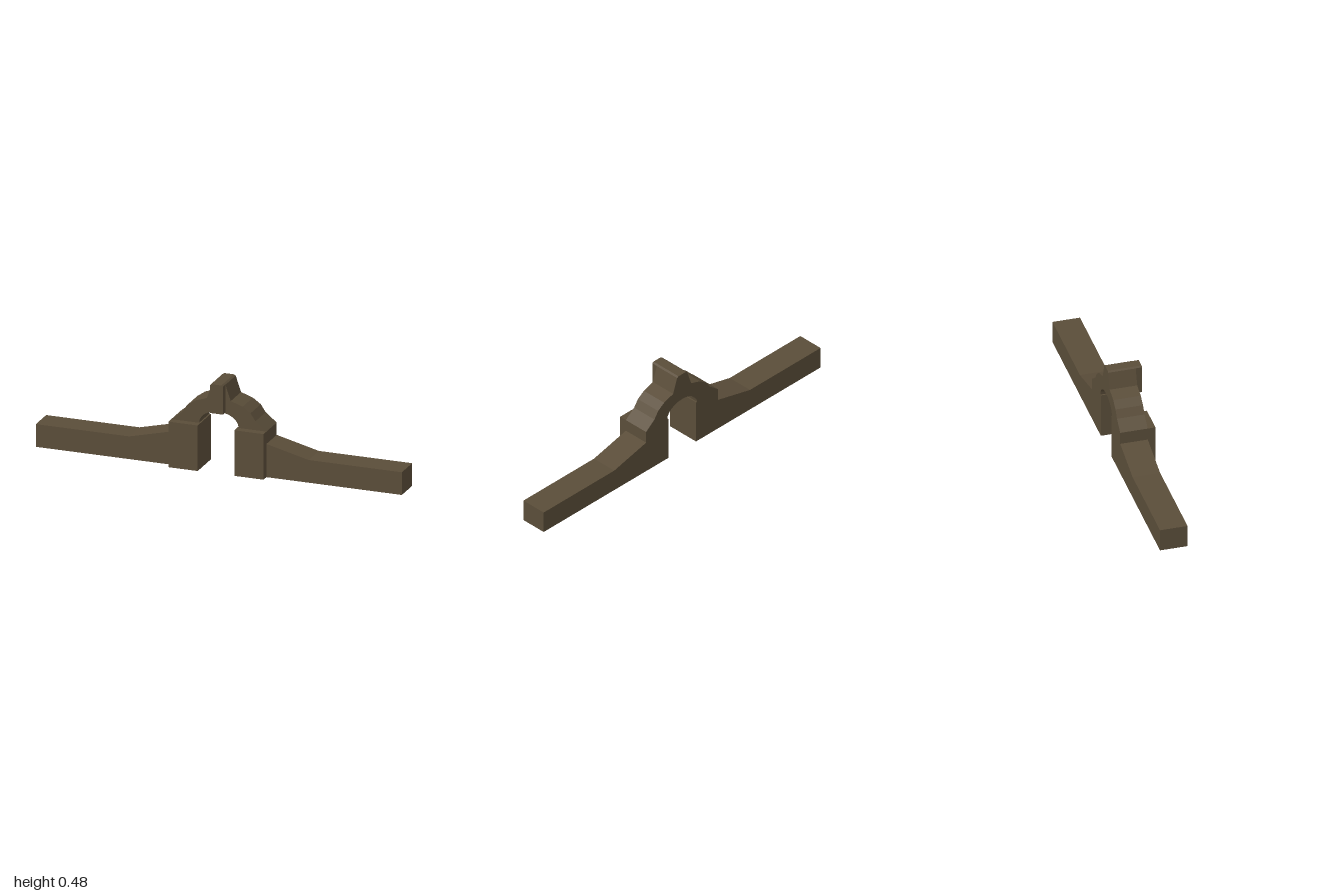
import * as THREE from 'three';

export function createModel() {
  const group = new THREE.Group();
  const stone = new THREE.MeshStandardMaterial({ color: 0x5a4d39, flatShading: true });
  stone.name = 'brown stone';

  // Extrudes a front outline between two depths
  function slab(name, points, z0, z1) {
    const shape = new THREE.Shape(points.map(([x, y]) => new THREE.Vector2(x, y)));
    const geometry = new THREE.ExtrudeGeometry(shape, { depth: z1 - z0, bevelEnabled: false });
    geometry.translate(0, 0, z0);
    const mesh = new THREE.Mesh(geometry, stone);
    mesh.name = name;
    group.add(mesh);
  }
  const mirror = (pts) => pts.map(([x, y]) => [-x, y]).reverse();

  // Wall with arched doorway: right half from the arch foot round to the peak
  const half = [
    [0.1, 0.247], [0.1, 0], [1, 0], [1, 0.123], [0.49, 0.123], [0.26, 0.18],
    [0.26, 0.247], [0.2, 0.295], [0.173, 0.335], [0.13, 0.365], [0.065, 0.387],
    [0.036, 0.472], [0.026, 0.478],
  ];
  const arch = [];
  for (let i = 0; i <= 12; i++) {
    const a = Math.PI * (1 - i / 12);
    arch.push([0.108 * Math.cos(a), 0.247 + 0.074 * Math.sin(a)]);
  }
  slab('archWall', [...half, ...mirror(half), ...arch], -0.093, 0.053);

  // Keystone standing proud of the arch
  const key = [[0.035, 0.321], [0.035, 0.472], [0.026, 0.478]];
  slab('keystone', [...key, ...mirror(key)], 0.053, 0.087);

  // Door piers
  for (const side of [-1, 1]) {
    const pier = new THREE.Mesh(new THREE.BoxGeometry(0.16, 0.247, 0.041), stone);
    pier.position.set(side * 0.18, 0.1235, 0.0735);
    pier.name = side > 0 ? 'leftPier' : 'rightPier';
    group.add(pier);
  }
  return group;
}
